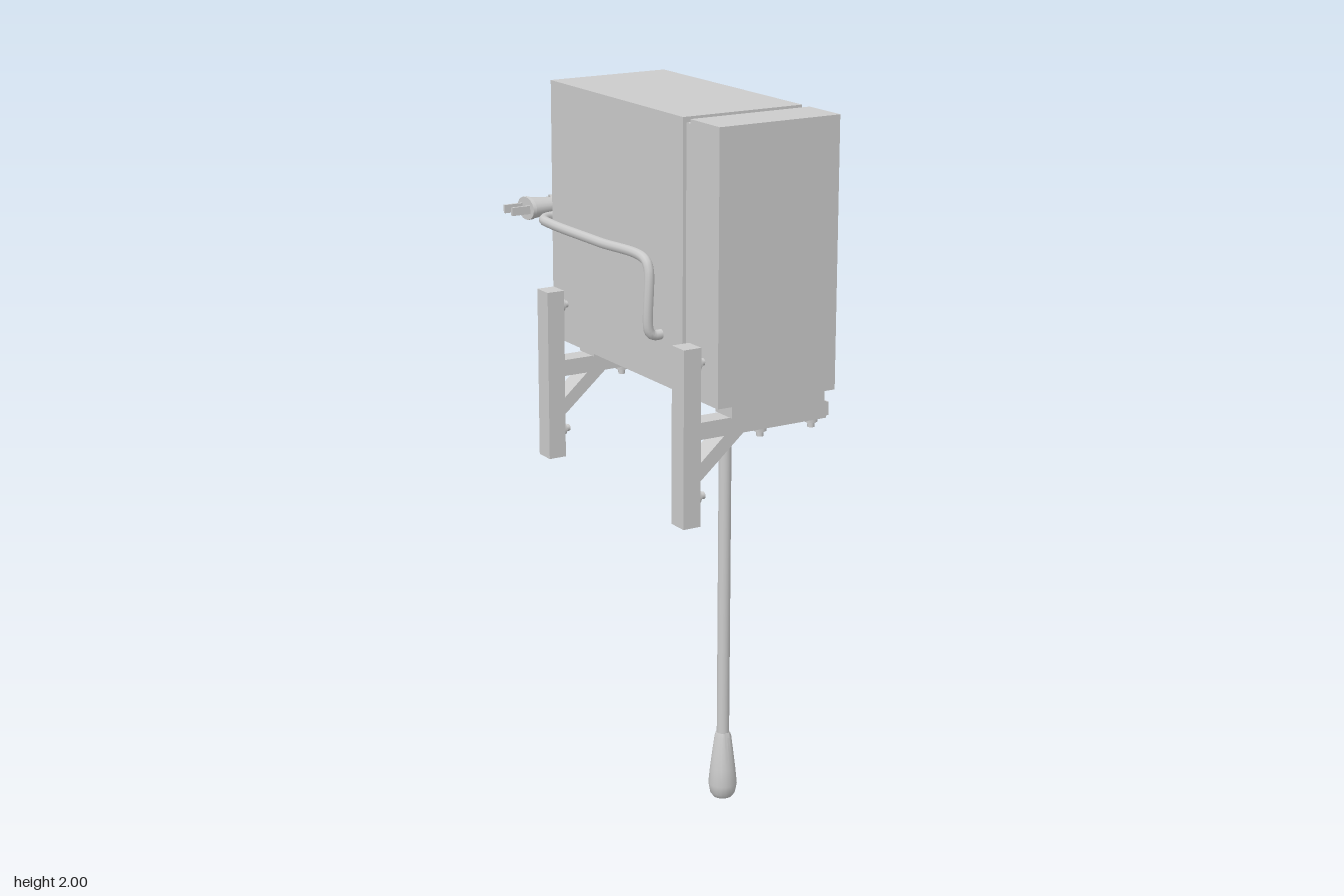
import * as THREE from 'three';
import { toCreasedNormals } from 'three/addons/utils/BufferGeometryUtils.js';

const grey = new THREE.MeshStandardMaterial({ color: 0xcccccc });
const greyDouble = new THREE.MeshStandardMaterial({ color: 0xcccccc, side: THREE.DoubleSide });

function add(parent, name, geometry, x = 0, y = 0, z = 0, material = grey) {
  const mesh = new THREE.Mesh(geometry, material);
  mesh.name = name;
  mesh.position.set(x, y, z);
  parent.add(mesh);
  return mesh;
}

// Box given by its min and max on each axis
function box(parent, name, [x0, x1], [y0, y1], [z0, z1]) {
  return add(parent, name, new THREE.BoxGeometry(x1 - x0, y1 - y0, z1 - z0),
    (x0 + x1) / 2, (y0 + y1) / 2, (z0 + z1) / 2);
}

function lathe(points, segments) {
  const g = new THREE.LatheGeometry(points.map(([r, y]) => new THREE.Vector2(r, y)), segments);
  return toCreasedNormals(g, 0.6);
}

const V = (x, y, z) => new THREE.Vector3(x, y, z);
const FAN_Y = 1.645, FAN_Z = 0.016, FAN_R = 0.31;

function makeHousing() {
  const g = new THREE.Group();
  g.name = 'housing';
  box(g, 'housingBack', [-0.16, 0.03], [1.26, 2], [-0.335, 0.37]);

  // Front half, pierced for the fan
  const shape = new THREE.Shape();
  shape.moveTo(-0.37, 1.26);
  shape.lineTo(0.335, 1.26);
  shape.lineTo(0.335, 2);
  shape.lineTo(-0.37, 2);
  shape.closePath();
  const hole = new THREE.Path();
  hole.absarc(-FAN_Z, FAN_Y, FAN_R, 0, Math.PI * 2, true);
  shape.holes.push(hole);
  const front = new THREE.ExtrudeGeometry(shape, { depth: 0.18, bevelEnabled: false, curveSegments: 32 });
  front.rotateY(Math.PI / 2);
  add(g, 'housingFront', toCreasedNormals(front, 0.6), 0.03);

  box(g, 'groove', [-0.15, 0.2], [1.28, 1.985], [0.36, 0.41]);
  box(g, 'sideCover', [-0.16, 0.21], [1.26, 2], [0.405, 0.545]);
  box(g, 'plate', [0.2, 0.214], [1.285, 1.33], [-0.315, -0.135]);
  return g;
}

// Fan built facing +z, then turned to face +x
function makeFan() {
  const g = new THREE.Group();
  g.name = 'fan';
  const ring = lathe([[0.335, 0.2], [0.345, 0.21], [0.345, 0.228], [0.337, 0.235], [0.325, 0.235],
    [0.318, 0.222], [0.307, 0.215], [0.29, 0.19], [0.29, 0.03]], 48);
  ring.rotateX(Math.PI / 2);
  add(g, 'fanRing', ring, 0, 0, 0, greyDouble);

  const hub = lathe([[0, 0.03], [0.106, 0.03], [0.106, 0.18], [0.1, 0.187], [0, 0.187]], 32);
  hub.rotateX(Math.PI / 2);
  add(g, 'hub', hub, 0, 0, 0, greyDouble);

  // Pitched blades: each a bent sector rising along its sweep
  for (let i = 0; i < 4; i++) {
    const blade = new THREE.PlaneGeometry(1, 1, 8, 4);
    const p = blade.attributes.position;
    const mid = THREE.MathUtils.degToRad(11 + 90 * i);
    for (let k = 0; k < p.count; k++) {
      const t = p.getX(k), r = 0.185 + 0.19 * p.getY(k);
      const a = mid + t * 0.79;
      p.setXYZ(k, r * Math.cos(a), r * Math.sin(a), 0.12 + t * 0.1);
    }
    blade.computeVertexNormals();
    add(g, 'blade', blade, 0, 0, 0, greyDouble);
  }
  g.position.set(0, FAN_Y, FAN_Z);
  g.rotation.y = Math.PI / 2;
  return g;
}

function makeBracket(z) {
  const g = new THREE.Group();
  g.name = 'bracket';
  const w = [-0.03, 0.03];
  box(g, 'post', [-0.238, -0.185], [0.93, 1.42], w);
  box(g, 'arm', [-0.185, 0.213], [1.17, 1.217], w);
  box(g, 'armCap', [0.21, 0.225], [1.174, 1.212], [-0.024, 0.024]);
  box(g, 'rail', [-0.095, 0.2], [1.217, 1.25], [-0.04, 0.04]);
  box(g, 'pad', [-0.11, 0.2], [1.247, 1.262], [-0.03, 0.03]);

  // Diagonal brace
  const s = new THREE.Shape([[-0.187, 1.055], [-0.05, 1.172], [-0.11, 1.172], [-0.187, 1.105]]
    .map(([x, y]) => new THREE.Vector2(x, y)));
  add(g, 'brace', new THREE.ExtrudeGeometry(s, { depth: 0.06, bevelEnabled: false }), 0, 0, -0.03);

  // Hex nut with a short bolt end
  const bolt = (x, y, turn) => {
    const b = new THREE.Group();
    b.name = 'bolt';
    add(b, 'nut', new THREE.CylinderGeometry(0.018, 0.018, 0.014, 6), 0, 0.007, 0);
    add(b, 'boltEnd', new THREE.CylinderGeometry(0.01, 0.01, 0.028, 12), 0, 0.014, 0);
    b.position.set(x, y, 0);
    b.rotation.z = turn;
    g.add(b);
  };
  bolt(-0.185, 1.005, -Math.PI / 2);
  bolt(-0.185, 1.372, -Math.PI / 2);
  bolt(0.02, 1.17, Math.PI);
  bolt(0.185, 1.17, Math.PI);
  g.position.z = z;
  return g;
}

function makePullCord() {
  const g = new THREE.Group();
  g.name = 'pullCord';
  add(g, 'collar', new THREE.CylinderGeometry(0.029, 0.026, 0.03, 20), 0, 1.248, 0);
  add(g, 'cord', new THREE.CylinderGeometry(0.018, 0.018, 1.08, 16), 0, 0.72, 0);
  add(g, 'handle', lathe([[0, 0], [0.027, 0], [0.036, 0.012], [0.041, 0.04], [0.036, 0.09],
    [0.024, 0.185], [0.02, 0.197], [0, 0.197]], 20));
  g.position.set(0.05, 0, 0.255);
  return g;
}

function makePowerCord() {
  const g = new THREE.Group();
  g.name = 'powerCord';
  const y = 1.605;
  const path = new THREE.CatmullRomCurve3([
    V(-0.15, 1.4, 0.26), V(-0.185, 1.4, 0.26), V(-0.198, 1.415, 0.26), V(-0.198, 1.58, 0.26),
    V(-0.198, y, 0.24), V(-0.198, y, 0), V(-0.198, y, -0.27), V(-0.188, y, -0.335),
    V(-0.155, y, -0.365), V(-0.06, y, -0.365), V(-0.015, y, -0.39), V(0.003, y, -0.435),
    V(-0.008, y, -0.48), V(-0.03, y, -0.5)], false, 'centripetal');
  add(g, 'cable', new THREE.TubeGeometry(path, 120, 0.014, 10));

  const plug = new THREE.Group();
  plug.name = 'plug';
  // Round parts lie along x, flattened in y
  const part = (name, r0, r1, x0, x1, flat) => {
    const c = new THREE.CylinderGeometry(r1, r0, x1 - x0, 20);
    c.rotateZ(-Math.PI / 2);
    c.scale(1, flat, 1);
    return add(plug, name, c, (x0 + x1) / 2);
  };
  part('plugFlange', 0.049, 0.049, -0.157, -0.146, 0.68);
  part('plugBody', 0.044, 0.034, -0.146, -0.074, 0.72);
  const relief = part('strainRelief', 0.038, 0.03, -0.074, -0.008, 0.75);
  relief.rotation.y = -0.35;
  for (const z of [-0.023, 0.023])
    box(plug, 'prong', [-0.215, -0.15], [-0.012, 0.012], [z - 0.004, z + 0.004]);
  plug.position.set(0, y, -0.5);
  g.add(plug);
  return g;
}

export function createModel() {
  const model = new THREE.Group();
  model.name = 'wallFan';
  model.add(makeHousing(), makeFan(), makeBracket(0.473), makeBracket(-0.257),
    makePullCord(), makePowerCord());
  return model;
}
